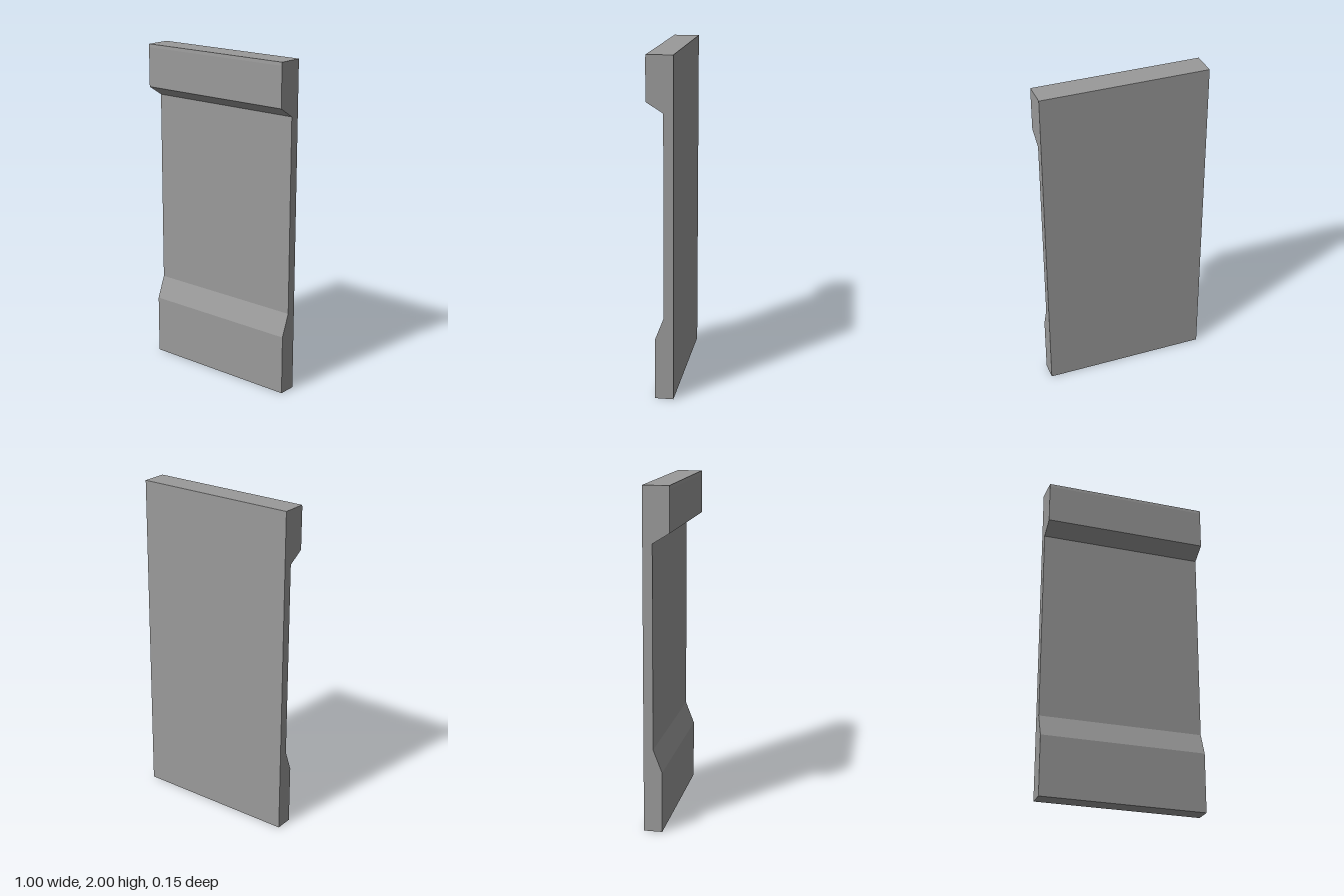
import * as THREE from 'three';

const WIDTH = 1;

// Side profile as (z, y) points, counter-clockwise
const PROFILE = [
  [-0.077, 0], [0.031, 0], [0.031, 0.361], // plinth face
  [-0.021, 0.495], [-0.021, 1.68],         // sloped ledge, recessed field
  [0.077, 1.741],                          // undercut
  [0.077, 1.98], [0.075, 2], [-0.077, 2],  // top band, its upper edge slightly eased
];

export function createModel() {
  const group = new THREE.Group();
  group.name = 'wallPanel';

  // Wall slab: the profile swept across the width
  const shape = new THREE.Shape(PROFILE.map(([z, y]) => new THREE.Vector2(z, y)));
  const geometry = new THREE.ExtrudeGeometry(shape, { depth: WIDTH, bevelEnabled: false });
  geometry.translate(0, 0, -WIDTH / 2).rotateY(-Math.PI / 2);

  const material = new THREE.MeshStandardMaterial({ color: 0x9a9a9a, flatShading: true });
  const wall = new THREE.Mesh(geometry, material);
  wall.name = 'wall';
  group.add(wall);
  return group;
}
